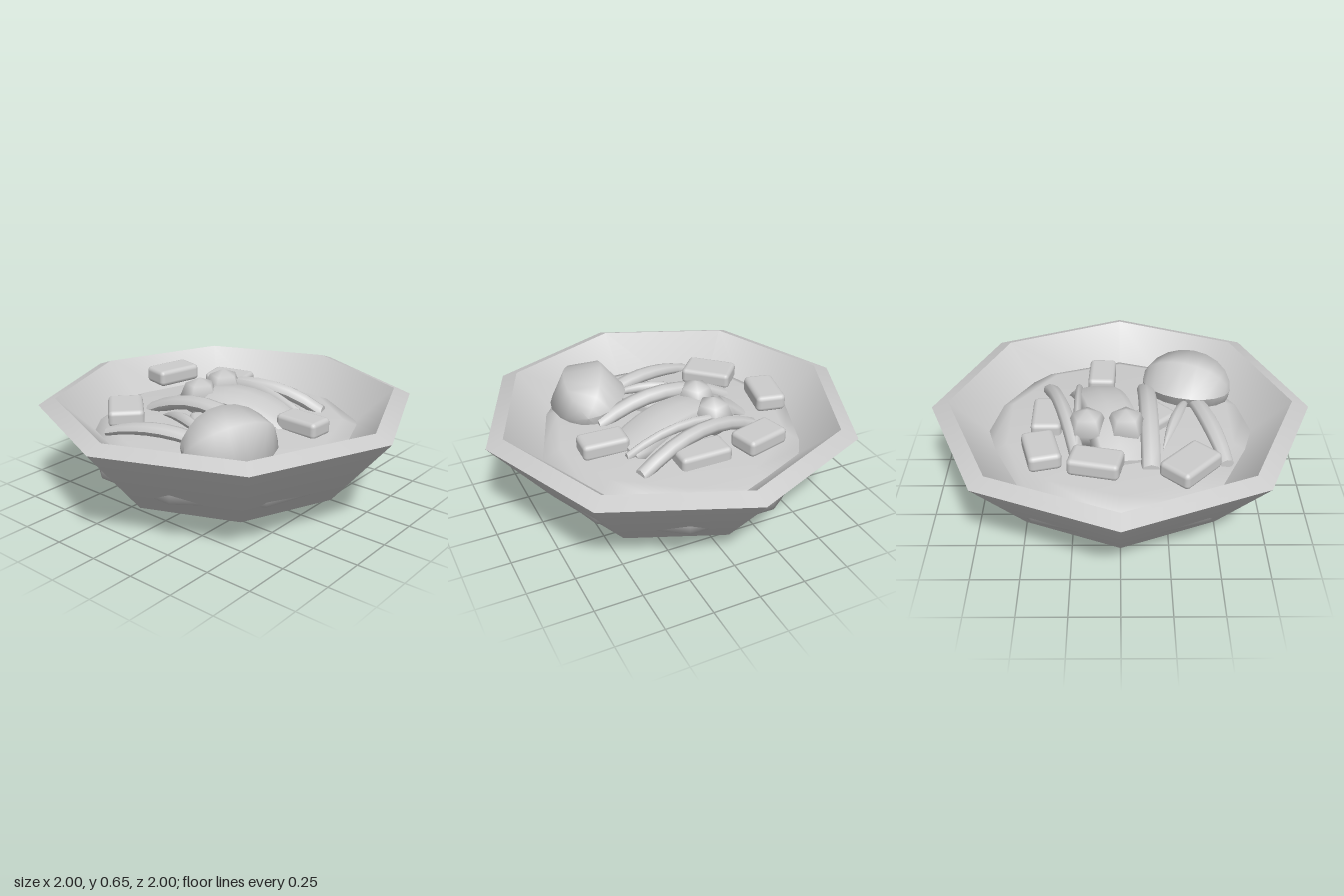
import * as THREE from 'three';
import { RoundedBoxGeometry } from 'three/addons/geometries/RoundedBoxGeometry.js';

const material = new THREE.MeshStandardMaterial({ color: 0xcccccc });
const V = (x, y) => new THREE.Vector2(x, y);

export function createModel() {
  const model = new THREE.Group();

  function add(name, geometry, x = 0, y = 0, z = 0) {
    const mesh = new THREE.Mesh(geometry, material);
    mesh.name = name;
    mesh.position.set(x, y, z);
    model.add(mesh);
    return mesh;
  }

  // Eight-sided bowl: outer shell, sloping rim and inner wall
  add('bowlOutside', new THREE.LatheGeometry([V(0, 0), V(0.25, 0), V(0.68, 0.145), V(1, 0.53)], 8));
  add('bowlRim', new THREE.LatheGeometry([V(1, 0.53), V(0.91, 0.565)], 8));
  add('bowlInside', new THREE.LatheGeometry([V(0.91, 0.565), V(0.55, 0.23), V(0, 0.2)], 8));

  // Ten-sided filling with a rounded shoulder; its corners just pierce the bowl
  const filling = new THREE.LatheGeometry(
    [V(0, 0.25), V(0.75, 0.25), V(0.745, 0.375), V(0.62, 0.43), V(0, 0.445)], 10);
  filling.rotateY(Math.PI / 2);
  add('filling', filling);

  // Rounded chunks: x, y, z, width, depth, turn
  const chunks = [
    [-0.315, 0.475, -0.4, 0.25, 0.17, 0.25],
    [0.01, 0.455, -0.39, 0.28, 0.16, 0],
    [-0.51, 0.545, -0.12, 0.16, 0.26, -0.22],
    [0.425, 0.465, -0.1, 0.25, 0.15, -0.04],
    [-0.42, 0.465, 0.35, 0.28, 0.19, -0.75],
    [0.02, 0.445, 0.19, 0.18, 0.18, 0.75],
  ];
  for (const [x, y, z, w, d, turn] of chunks) {
    add('chunk', new RoundedBoxGeometry(w, 0.09, d, 2, 0.025), x, y, z).rotation.y = turn;
  }

  // Strip arched over the filling from a to b (x, z); taper narrows both ends
  function strip(name, a, b, width, height, base, arch, taper = 0) {
    const length = Math.hypot(b[0] - a[0], b[1] - a[1]);
    const geometry = new THREE.CylinderGeometry(0.5, 0.5, length, 8, 8);
    geometry.rotateZ(-Math.PI / 2);
    const p = geometry.attributes.position;
    for (let i = 0; i < p.count; i++) {
      const t = (2 * p.getX(i)) / length;
      const s = 1 - taper * t * t;
      p.setY(i, p.getY(i) * height * s + arch * (1 - t * t));
      p.setZ(i, p.getZ(i) * width * s);
    }
    geometry.computeVertexNormals();
    const mesh = add(name, geometry, (a[0] + b[0]) / 2, base, (a[1] + b[1]) / 2);
    mesh.rotation.y = -Math.atan2(b[1] - a[1], b[0] - a[0]);
  }
  strip('wideSlice', [-0.385, 0.02], [0.33, -0.155], 0.28, 0.08, 0.42, 0.11);
  strip('backStrip', [-0.4, -0.2], [0.35, -0.4], 0.08, 0.08, 0.42, 0.11);
  strip('thinStrip', [-0.4, -0.22], [0.35, -0.23], 0.04, 0.06, 0.43, 0.11);
  strip('middleStrip', [-0.42, 0.155], [0.36, 0.145], 0.1, 0.08, 0.42, 0.11);
  strip('pointedStrip', [-0.27, 0.22], [0.22, 0.38], 0.06, 0.06, 0.44, 0.05, 0.95);
  strip('frontStrip', [-0.36, 0.54], [0.3, 0.38], 0.1, 0.07, 0.42, 0.06, 0.3);

  // Two five-sided berries
  for (const z of [-0.17, 0.03]) {
    add('berry', new THREE.SphereGeometry(0.11, 5, 4), -0.17, 0.515, z).rotation.y = Math.PI;
  }

  // Large egg lying on its side, six-sided across its length
  const egg = new THREE.SphereGeometry(1, 6, 10);
  egg.rotateX(Math.PI / 2);
  egg.scale(0.21, 0.19, 0.25);
  egg.rotateZ(-0.14);
  egg.rotateY(-0.35);
  egg.computeVertexNormals();
  add('egg', egg, 0.325, 0.475, 0.375);

  return model;
}
